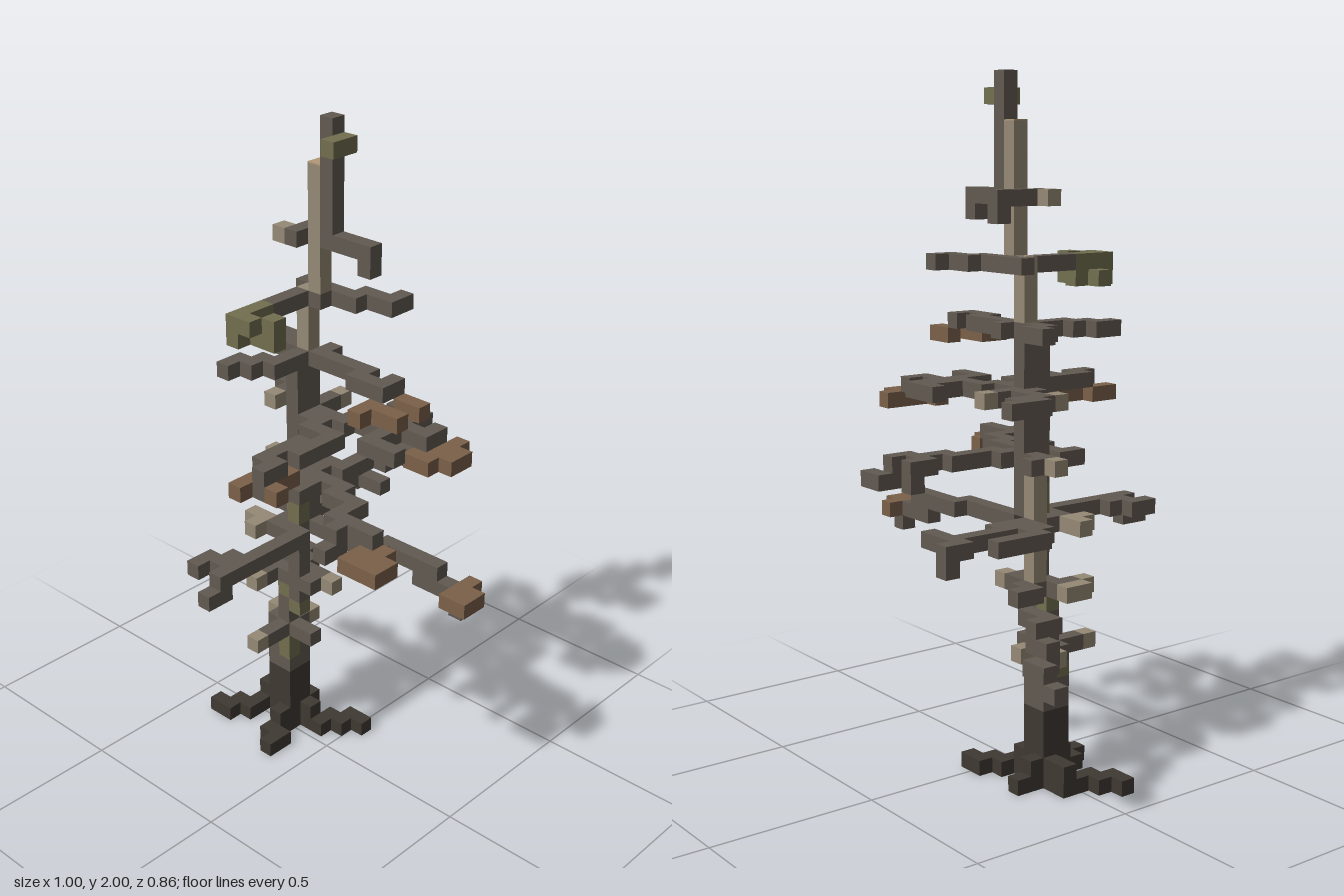
import * as THREE from 'three';
import { mergeGeometries } from 'three/addons/utils/BufferGeometryUtils.js';

const S = 1 / 22; // edge of one block

const material = (name, color) => {
  const m = new THREE.MeshStandardMaterial({ color });
  m.name = name;
  return m;
};

export function createModel() {
  const tree = new THREE.Group();
  tree.name = 'deadTree';
  const bark = material('greyBark', 0x625a52);
  const dark = material('darkRoot', 0x403933);
  const pale = material('paleWood', 0x968a76);
  const rust = material('rustNeedles', 0x7b614a);
  const moss = material('moss', 0x726f50);
  const tan = material('freshWood', 0xb39a78);
  const used = new Set();

  // Blocks along a path of [column, level, row] points, one axis at a time
  function blocks(name, mat, ...paths) {
    const parts = [];
    const put = (p) => {
      const key = p.join();
      if (used.has(key)) return;
      used.add(key);
      parts.push(new THREE.BoxGeometry(S, S, S).translate(
        (p[0] - 10.5) * S, (p[1] + 0.5) * S, (p[2] - 9) * S));
    };
    for (const path of paths) {
      const p = [...path[0]];
      put(p);
      for (const q of path) {
        for (const a of [0, 2, 1]) {
          while (p[a] !== q[a]) {
            p[a] += Math.sign(q[a] - p[a]);
            put(p);
          }
        }
      }
    }
    const mesh = new THREE.Mesh(mergeGeometries(parts), mat);
    mesh.name = name;
    tree.add(mesh);
  }
  // Flat path on one level from [column, row] points
  const flat = (y, ...pts) => pts.map(([x, z]) => [x, y, z]);
  const column = (x, z, y0, y1) => [[x, y0, z], [x, y1, z]];

  // Stump and roots
  blocks('stump', dark, ...[[6, 8], [7, 8], [6, 9], [7, 9]].map(([x, z]) => column(x, z, 0, 4)));
  blocks('roots', dark,
    flat(0, [5, 8], [4, 8], [4, 10], [3, 10], [3, 11], [2, 11]),
    flat(0, [8, 8], [9, 8], [9, 7], [10, 7], [10, 6], [11, 6]),
    flat(0, [7, 10], [7, 11], [8, 11], [8, 12]),
    flat(0, [6, 7], [6, 6]),
    flat(1, [5, 8], [4, 8]), flat(1, [8, 8]), flat(1, [7, 10]), flat(1, [6, 7]));

  // Trunk, leaning right as it rises
  blocks('trunkMoss', moss, column(7, 9, 6, 8), column(6, 9, 7, 7), column(7, 9, 11, 11),
    column(8, 9, 10, 10), column(8, 9, 17, 18));
  blocks('lowerTrunk', bark, column(6, 8, 5, 8), column(7, 8, 5, 8), column(6, 9, 5, 8),
    column(7, 9, 5, 12));
  blocks('paleTrunk', pale, column(7, 8, 13, 19), column(8, 8, 29, 32), column(9, 8, 33, 40));
  blocks('upperTrunk', bark, column(8, 9, 11, 28), column(8, 8, 17, 28), column(10, 8, 36, 43));
  blocks('topTuft', moss, flat(42, [11, 8], [11, 9]));
  const cap = new THREE.Mesh(new THREE.BoxGeometry(S, 0.004, S), tan);
  cap.name = 'brokenTop';
  cap.position.set(-1.5 * S, 41 * S + 0.002, -S);
  tree.add(cap);

  // Lowest twigs
  blocks('lowTwigTips', pale, flat(8, [5, 8]), flat(8, [7, 12]), flat(8, [7, 7]));
  blocks('lowTwigs', bark, flat(8, [8, 9], [9, 9]), flat(8, [7, 10], [7, 11]));

  // Second whorl with the long drooping branch
  blocks('secondTwigTips', pale, flat(12, [5, 9], [5, 10]), flat(12, [10, 8]), flat(12, [6, 11]));
  blocks('secondTwigs', bark, flat(12, [6, 9], [6, 10]), flat(12, [9, 9], [9, 8]), flat(12, [8, 8]));
  blocks('droopingBranch', bark, flat(12, [7, 8], [7, 7], [6, 7], [6, 6]),
    flat(11, [5, 6], [3, 6], [3, 5]), flat(10, [3, 5], [2, 5]),
    flat(9, [2, 5], [2, 4], [1, 4]), flat(8, [1, 4], [0, 4]));

  // Third whorl, the widest
  blocks('thirdTips', pale, flat(16, [5, 10], [6, 10], [6, 11]));
  blocks('thirdBranches', bark,
    flat(16, [9, 8], [14, 8], [14, 7], [18, 7]), flat(15, [17, 7], [19, 7]), flat(14, [20, 7]),
    flat(16, [7, 7], [6, 7], [6, 1], [8, 1]), flat(16, [5, 1], [5, 0]), flat(15, [5, 0]),
    flat(16, [7, 6], [7, 5]),
    flat(16, [5, 7], [5, 6], [4, 5], [4, 3]),
    flat(16, [8, 10], [9, 10], [9, 17]), flat(15, [9, 17], [9, 18]),
    flat(16, [8, 15], [8, 16], [7, 16], [7, 17]), flat(16, [7, 9], [7, 10]));
  blocks('thirdNeedles', rust, flat(15, [20, 6], [20, 8], [21, 8], [21, 7]));

  // Fourth whorl
  blocks('fourthTip', pale, flat(20, [5, 8]));
  blocks('fourthBranches', bark,
    flat(20, [9, 8], [9, 7], [10, 7], [10, 5], [10, 4], [11, 4], [11, 2], [12, 2], [12, 1]),
    flat(20, [10, 2], [10, 1]), flat(19, [10, 1]), flat(19, [12, 1], [12, 0], [13, 0]),
    flat(20, [9, 9], [12, 9], [12, 10], [14, 10], [14, 12], [17, 12]),
    flat(20, [15, 13]), flat(19, [15, 13], [15, 14]),
    flat(20, [7, 8], [6, 8], [6, 7]), flat(20, [8, 10], [7, 10], [7, 11]),
    flat(20, [9, 10], [10, 10], [10, 11]));
  blocks('fourthNeedles', rust,
    flat(19, [18, 12], [18, 13], [17, 13], [17, 14], [19, 14], [19, 13]));

  // Fifth whorl
  blocks('fifthTip', pale, flat(24, [8, 5]), flat(24, [5, 8]));
  blocks('fifthBranches', bark,
    flat(24, [9, 8], [11, 8], [11, 7], [14, 7], [14, 6], [16, 6], [16, 5]),
    flat(24, [13, 6], [13, 4], [12, 4]), flat(24, [14, 5], [14, 4]),
    flat(24, [14, 8], [14, 9], [16, 9]),
    flat(24, [9, 9], [10, 9], [10, 10], [12, 10], [12, 12], [11, 12], [11, 15], [12, 15], [12, 16]),
    flat(24, [12, 13]),
    flat(24, [7, 8], [7, 7], [5, 7], [5, 5], [4, 5], [4, 4]), flat(24, [4, 6]),
    flat(24, [8, 7], [8, 6]), flat(23, [12, 16]));
  blocks('fifthNeedles', rust, flat(23, [11, 16], [11, 17]), flat(23, [13, 16]),
    flat(23, [12, 14], [12, 15]), flat(23, [17, 4], [17, 6], [18, 6], [18, 5]),
    flat(23, [16, 7], [17, 7]));

  // Sixth whorl
  blocks('sixthBranches', bark,
    flat(28, [9, 8], [13, 8], [13, 9], [15, 9]), flat(28, [15, 8]),
    flat(28, [7, 8], [6, 8], [6, 7], [5, 7]),
    flat(28, [8, 10], [8, 11], [7, 11], [7, 12], [6, 12], [6, 13]), flat(28, [9, 7]));
  blocks('sixthNeedles', rust, flat(27, [15, 11], [15, 10], [17, 10]), flat(27, [16, 8], [17, 8]));

  // Seventh whorl with a mossy front branch
  blocks('seventhBranches', bark,
    flat(32, [9, 8], [9, 7], [11, 7], [11, 6], [13, 6], [13, 5]),
    flat(32, [8, 9], [8, 11]), flat(32, [8, 7], [7, 7]));
  blocks('seventhMoss', moss, flat(32, [8, 12], [8, 14], [9, 14]), flat(32, [10, 13]),
    flat(31, [7, 13], [10, 13]), flat(31, [8, 12]), flat(31, [8, 14]));

  // Topmost twigs
  blocks('topTwigTip', pale, flat(36, [7, 9]));
  blocks('topTwigs', bark, flat(36, [8, 9], [8, 6]), flat(35, [8, 6]),
    flat(36, [11, 8], [13, 8]), flat(35, [13, 8]));

  return tree;
}
